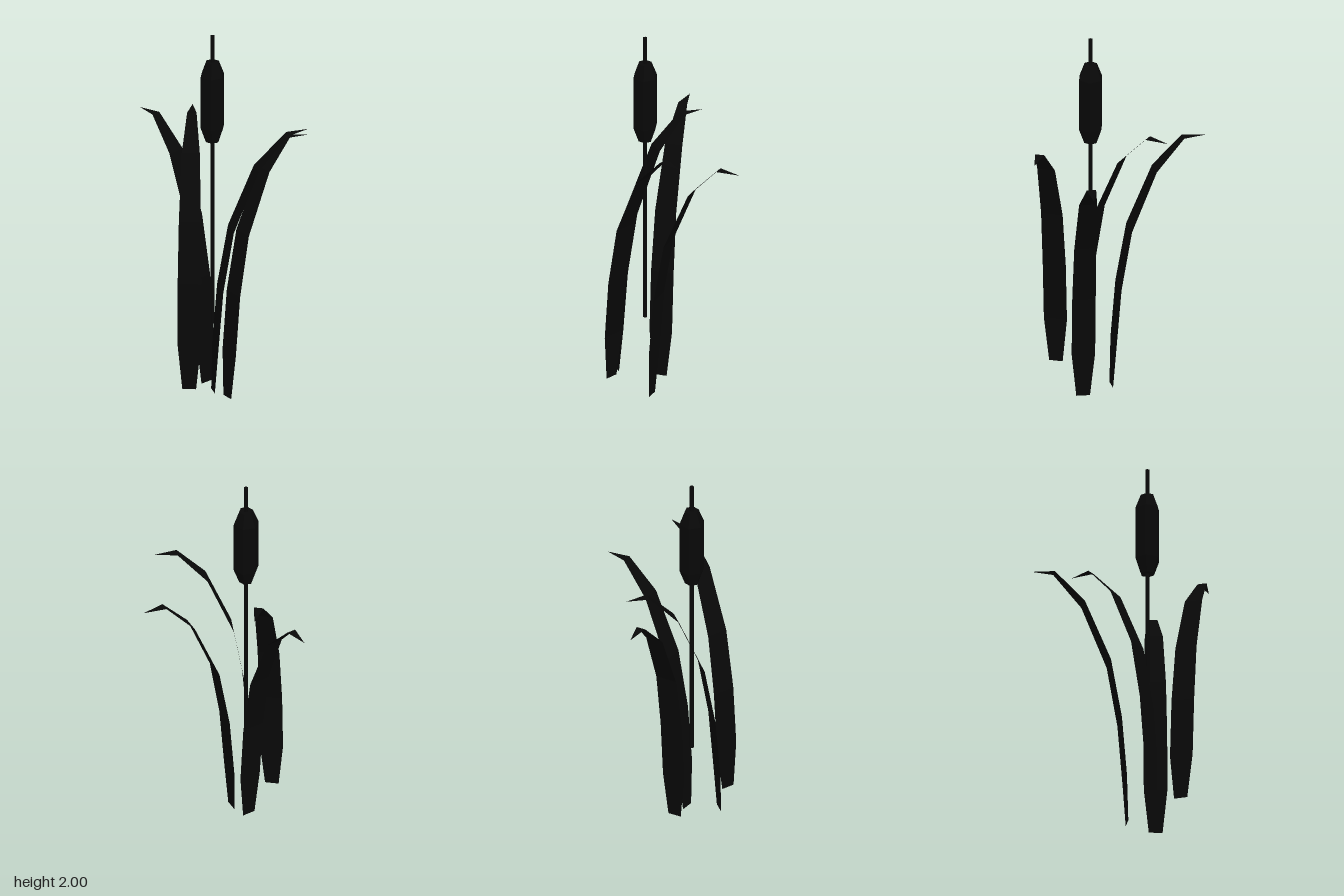
import * as THREE from 'three';

const material = (color, side = THREE.FrontSide) =>
  new THREE.MeshStandardMaterial({ color, flatShading: true, side });

// Leaf rows: [outward distance, height, half width]; the last row is the tip
const LEAF_ROWS = [
  [0, 0, 0.035],
  [0.012, 0.245, 0.06],
  [0.038, 0.565, 0.06],
  [0.094, 0.885, 0.056],
  [0.227, 1.205, 0.046],
  [0.377, 1.366, 0.024],
  [0.495, 1.362, 0],
];

// A thin blade that arches outward along local +x
function leafGeometry() {
  const positions = [];
  const index = [];
  const last = LEAF_ROWS.length - 1;
  LEAF_ROWS.forEach(([out, y, w], i) => {
    if (i === last) positions.push(out, y, 0);
    else positions.push(out, y, -w, out, y, w);
    const a = i * 2;
    if (i < last - 1) index.push(a, a + 2, a + 1, a + 1, a + 2, a + 3);
    else if (i === last - 1) index.push(a, a + 2, a + 1);
  });
  const geometry = new THREE.BufferGeometry();
  geometry.setAttribute('position', new THREE.Float32BufferAttribute(positions, 3));
  geometry.setIndex(index);
  geometry.computeVertexNormals();
  return geometry;
}

export function createModel() {
  const model = new THREE.Group();
  model.name = 'cattail';
  const dark = material(0x080808);

  // Stalk with its seed head
  const stalk = new THREE.Group();
  stalk.name = 'stalk';
  stalk.position.set(-0.164, 0, 0.07);
  model.add(stalk);

  const stem = new THREE.Mesh(new THREE.CylinderGeometry(0.0115, 0.0115, 1.59, 6), dark);
  stem.name = 'stem';
  stem.position.y = 1.205;
  stalk.add(stem);

  const profile = [[0, 1.417], [0.036, 1.417], [0.065, 1.498], [0.065, 1.78], [0.036, 1.855], [0, 1.855]];
  const head = new THREE.Mesh(
    new THREE.LatheGeometry(profile.map(([r, y]) => new THREE.Vector2(r, y)), 6), dark);
  head.name = 'seedHead';
  stalk.add(head);

  // Four copies of one leaf: [x, y, z, heading in degrees]
  const geometry = leafGeometry();
  const leafMaterial = material(0x080808, THREE.DoubleSide);
  [
    [-0.322, 0.119, 0.187, -39.3],
    [-0.317, 0.088, 0.035, 33.5],
    [-0.122, 0, 0.133, -20.2],
    [-0.097, 0.038, -0.014, 78.5],
  ].forEach(([x, y, z, heading], i) => {
    const leaf = new THREE.Mesh(geometry, leafMaterial);
    leaf.name = `leaf${i + 1}`;
    leaf.position.set(x, y, z);
    leaf.rotation.y = THREE.MathUtils.degToRad(heading);
    model.add(leaf);
  });

  return model;
}
